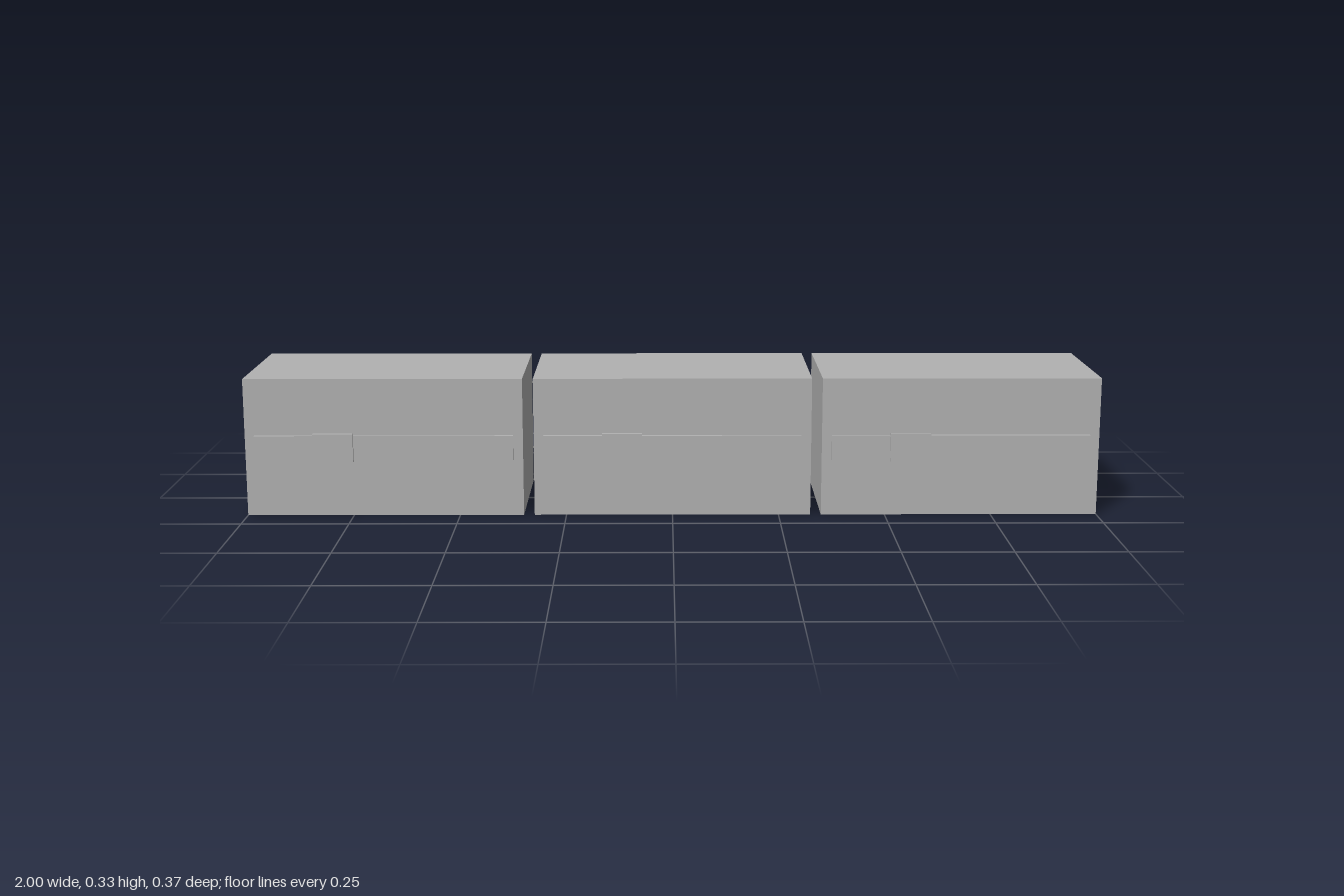
import * as THREE from 'three';

const grey = new THREE.MeshStandardMaterial({ color: 0xb2b2b2 });
grey.name = 'grey';

// Box given by its minimum and maximum corners
function box(name, min, max) {
  const size = max.map((v, i) => v - min[i]);
  const mesh = new THREE.Mesh(new THREE.BoxGeometry(...size), grey);
  mesh.position.set(...max.map((v, i) => (v + min[i]) / 2));
  mesh.name = name;
  return mesh;
}

// One block with its front strip and the small raised slider on it
function createUnit(name, x) {
  const unit = new THREE.Group();
  unit.name = name;
  unit.position.x = x;
  unit.add(
    box('block', [-0.325, 0, -0.183], [0.325, 0.326, 0.168]),
    box('frontStrip', [-0.302, 0.134, 0.167], [0.302, 0.192, 0.1765]),
    box('slider', [-0.165, 0.13, 0.1746], [-0.071, 0.198, 0.183]),
  );
  return unit;
}

export function createModel() {
  const model = new THREE.Group();
  model.name = 'blockRow';
  ['rightUnit', 'middleUnit', 'leftUnit'].forEach((name, i) => {
    model.add(createUnit(name, (i - 1) * 0.675));
  });
  return model;
}
